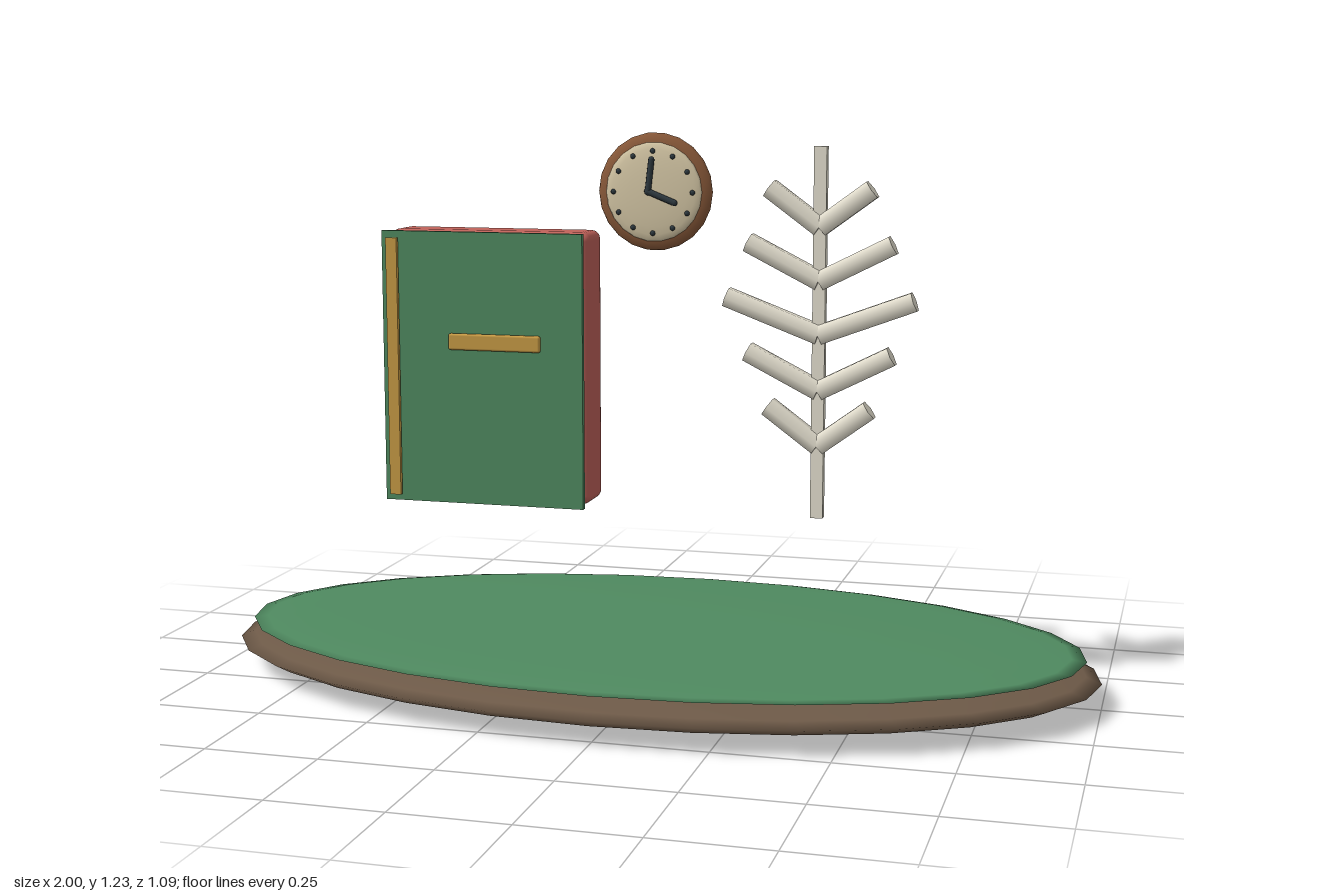
import * as THREE from 'three';
import { RoundedBoxGeometry } from 'three/addons/geometries/RoundedBoxGeometry.js';

const mat = (color) => new THREE.MeshStandardMaterial({ color });
const M = {
  soil: mat(0x6e5a48), green: mat(0x4f8a60), red: mat(0xc0625a), cream: mat(0xd8caa8),
  gold: mat(0xc89b45), wood: mat(0x8a5a3a), bark: mat(0xe5e0d0), dark: mat(0x2f3a40),
};

function add(parent, name, geometry, material, x = 0, y = 0, z = 0) {
  const mesh = new THREE.Mesh(geometry, material);
  mesh.name = name;
  mesh.position.set(x, y, z);
  parent.add(mesh);
  return mesh;
}

function group(parent, name, x = 0, y = 0, z = 0) {
  const g = new THREE.Group();
  g.name = name;
  g.position.set(x, y, z);
  parent.add(g);
  return g;
}

// Flattened sphere with its poles along y
const disc = (rx, ry, rz, segments, rings) =>
  new THREE.SphereGeometry(1, segments, rings).scale(rx, ry, rz);

// Straight bar between two points in an xy plane
function bar(parent, name, a, b, radius, sides, material, z = 0) {
  const dx = b[0] - a[0], dy = b[1] - a[1];
  const mesh = add(parent, name, new THREE.CylinderGeometry(radius, radius, Math.hypot(dx, dy), sides),
    material, (a[0] + b[0]) / 2, (a[1] + b[1]) / 2, z);
  mesh.rotation.z = Math.atan2(-dx, dy);
  return mesh;
}

export function createModel() {
  const model = new THREE.Group();
  model.name = 'islandScene';

  // Oval island
  add(model, 'islandBase', disc(1, 0.057, 0.545, 28, 12), M.soil, 0, 0.058, 0);
  add(model, 'grassTop', disc(0.967, 0.017, 0.522, 28, 12), M.green, 0, 0.105, 0);

  // Book: back block, pages, front cover and gold trim
  const book = group(model, 'book', -0.375, 0.708, 0);
  add(book, 'bookBlock', new RoundedBoxGeometry(0.47, 0.614, 0.11, 3, 0.02), M.red);
  add(book, 'pages', new RoundedBoxGeometry(0.41, 0.544, 0.06, 3, 0.025), M.cream, 0.015, 0, 0.05);
  add(book, 'frontCover', new THREE.BoxGeometry(0.47, 0.614, 0.013), M.green, 0, 0, 0.094);
  add(book, 'spineStrip', new THREE.BoxGeometry(0.026, 0.584, 0.01), M.gold, -0.207, 0, 0.111);
  add(book, 'coverLabel', new RoundedBoxGeometry(0.215, 0.037, 0.013, 2, 0.005), M.gold, 0.032, 0.062, 0.107);

  // Clock: lens-shaped case, dial, hour dots and hands
  const clock = group(model, 'clock', 0, 1.105, 0);
  add(clock, 'clockCase', disc(0.13, 0.023, 0.13, 22, 12).rotateX(Math.PI / 2), M.wood);
  add(clock, 'clockFace', disc(0.109, 0.012, 0.109, 22, 12).rotateX(Math.PI / 2), M.cream, 0, 0, 0.015);
  for (let i = 0; i < 12; i++) {
    const a = i * Math.PI / 6;
    add(clock, 'hourDot', new THREE.SphereGeometry(0.006, 8, 6), M.dark,
      0.09 * Math.sin(a), 0.09 * Math.cos(a), 0.025);
  }
  const hands = [['minuteHand', 0, 0.072], ['hourHand', 0.052, -0.022]];
  for (const [name, x, y] of hands) {
    const start = [-0.008, 0.002];
    bar(clock, name, start, [x, y], 0.007, 8, M.dark, 0.036);
    add(clock, name + 'Tip', new THREE.SphereGeometry(0.007, 8, 6), M.dark, x, y, 0.036);
  }
  add(clock, 'handPivot', new THREE.SphereGeometry(0.009, 8, 6), M.dark, -0.008, 0.002, 0.034);

  // Bare tree: thin trunk with mirrored pairs of six-sided branches
  const tree = group(model, 'tree', 0.37, 0, 0);
  add(tree, 'trunk', new THREE.BoxGeometry(0.028, 0.816, 0.02), M.bark, 0, 0.8, 0);
  const rows = [ // tip reach, tip height, root height
    [0.113, 1.117, 1.034], [0.16, 0.998, 0.917], [0.208, 0.877, 0.799],
    [0.16, 0.757, 0.676], [0.113, 0.637, 0.554],
  ];
  for (const [reach, tip, root] of rows)
    for (const side of [-1, 1])
      bar(tree, 'branch', [0, root], [side * reach, tip], 0.024, 6, M.bark);

  return model;
}
